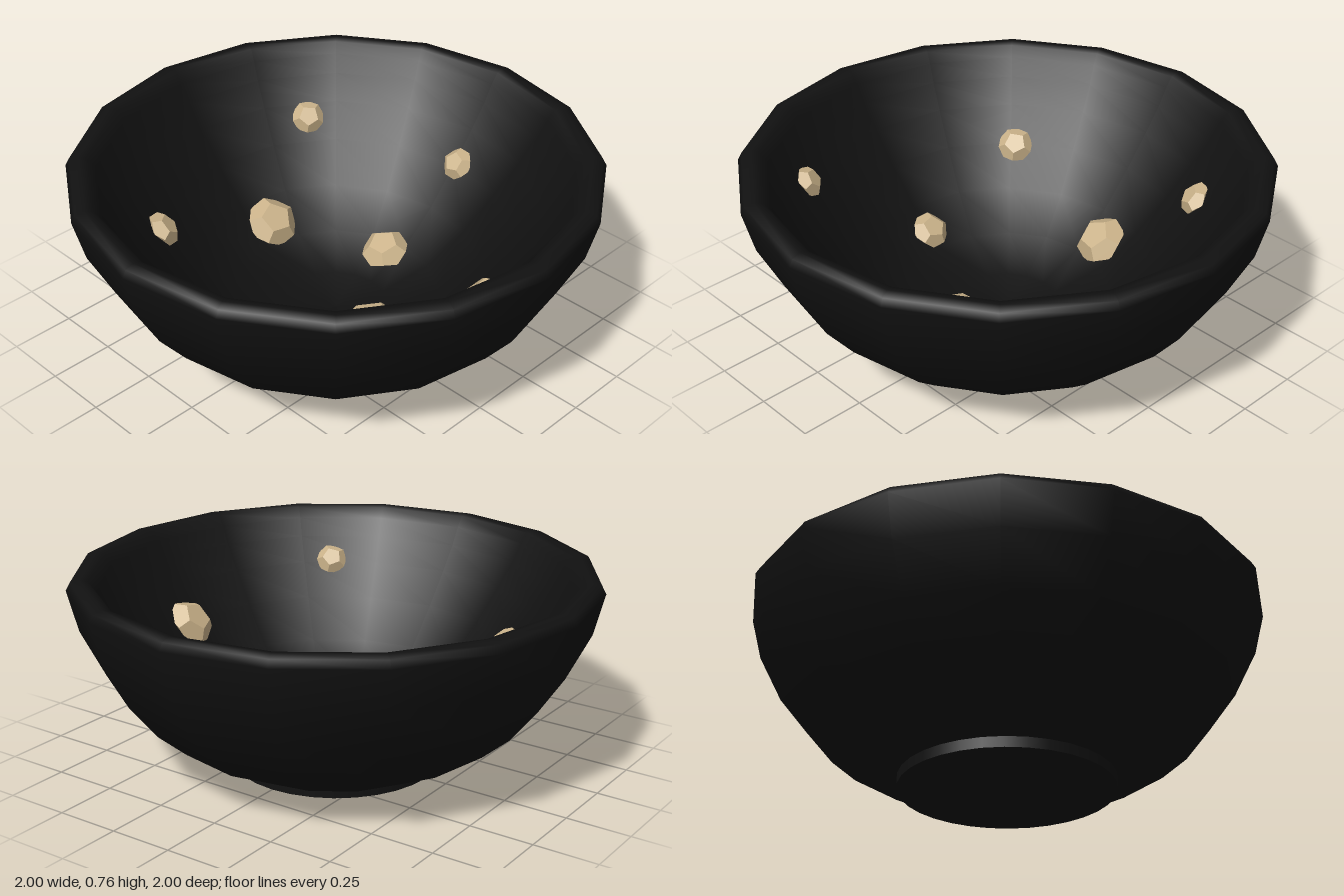
import * as THREE from 'three';

const SIDES = 16;

// Wall profiles as [radius, height]
const OUTER = [[0.38, 0.04], [0.45, 0.042], [0.65, 0.145], [0.76, 0.24], [0.87, 0.38], [0.96, 0.56], [1, 0.72], [0.985, 0.748], [0.95, 0.757]];
const INNER = [[0.92, 0.75], [0.89, 0.71], [0.85, 0.64], [0.78, 0.545], [0.68, 0.42], [0.55, 0.275], [0.4, 0.15], [0.2, 0.078], [0, 0.06]];

// Crumbs as [x, z, radius]
const CRUMBS = [
  [0.22, 0.035, 0.137], [-0.055, -0.34, 0.096], [-0.455, -0.08, 0.105],
  [0.675, -0.07, 0.1], [-0.6, -0.432, 0.068], [0.022, -0.685, 0.066],
  [0, 0.46, 0.076], [-0.488, 0.46, 0.072], [0.465, 0.63, 0.064],
];

// Height and slope angle of the inside wall at a radius
function insideAt(r) {
  const i = INNER.findIndex((p) => p[0] <= r);
  const [r1, y1] = INNER[i - 1], [r0, y0] = INNER[i];
  const slope = (y1 - y0) / (r1 - r0);
  return { y: y0 + slope * (r - r0), angle: Math.atan(slope) };
}

export function createModel() {
  const black = new THREE.MeshStandardMaterial({ color: 0x111111 });
  black.name = 'black glaze';
  const tan = new THREE.MeshStandardMaterial({ color: 0xcbb38a });
  tan.name = 'tan crumb';

  const model = new THREE.Group();
  model.name = 'bowlWithCrumbs';

  // Bowl wall, outside up over the rim and down the inside
  const points = [...OUTER, ...INNER].map(([r, y]) => new THREE.Vector2(r, y));
  const bowl = new THREE.Mesh(new THREE.LatheGeometry(points, SIDES), black);
  bowl.name = 'bowl';
  model.add(bowl);

  // Foot
  const foot = new THREE.Mesh(new THREE.CylinderGeometry(0.413, 0.413, 0.045, SIDES * 2), black);
  foot.name = 'foot';
  foot.position.y = 0.0225;
  model.add(foot);

  // Crumbs, flattened against the inside wall
  const crumbs = new THREE.Group();
  crumbs.name = 'crumbs';
  const up = new THREE.Vector3(0, 1, 0);
  CRUMBS.forEach(([x, z, size], i) => {
    const r = Math.hypot(x, z);
    const { y, angle } = insideAt(r);
    const s = Math.sin(angle);
    const normal = new THREE.Vector3(-x / r * s, Math.cos(angle), -z / r * s);
    // Turn the solid before flattening so that each crumb differs
    const geometry = new THREE.DodecahedronGeometry(1).rotateX(0.55).rotateY(i * 1.3);
    geometry.scale(size, size * 0.6, size);
    const crumb = new THREE.Mesh(geometry, tan);
    crumb.name = `crumb${i + 1}`;
    crumb.quaternion.setFromUnitVectors(up, normal);
    crumb.position.set(x, y, z).addScaledVector(normal, 0.015);
    crumbs.add(crumb);
  });
  model.add(crumbs);

  return model;
}
